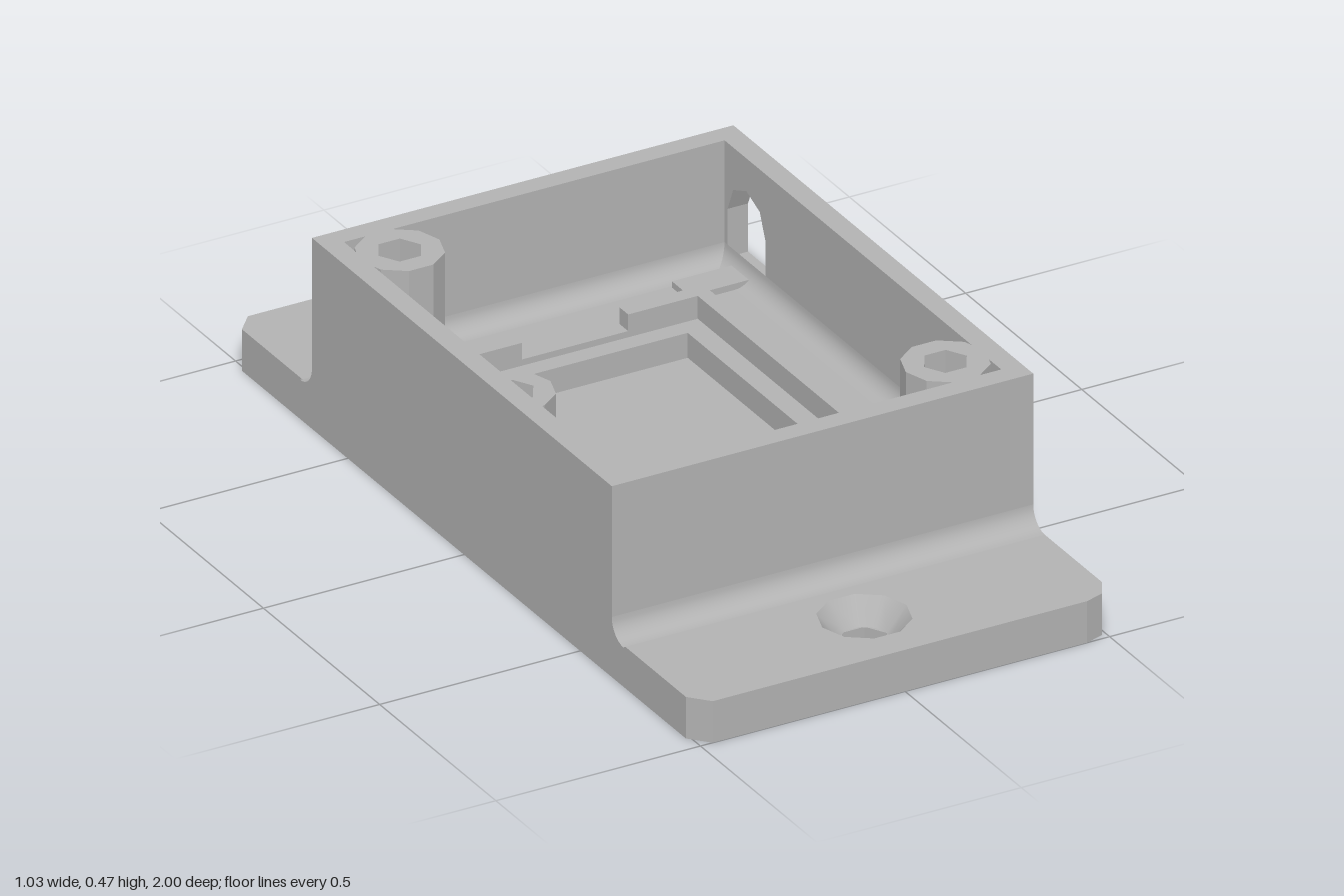
import * as THREE from 'three';
import { toCreasedNormals } from 'three/addons/utils/BufferGeometryUtils.js';

const W = 0.515, D = 0.645;    // outer half size of the box
const IW = 0.465, ID = 0.595;  // inner half size of the box
const PLATE = 0.1, LEDGE = 0.16, FLOOR = 0.175, RIM = 0.215, TOP = 0.465;

const rect = (x0, z0, x1, z1) => [[x0, z0], [x1, z0], [x1, z1], [x0, z1]];
const ngon = (n, r, cx, cz) => Array.from({ length: n }, (_, i) => {
  const a = (i / n) * Math.PI * 2;
  return [cx + r * Math.cos(a), cz + r * Math.sin(a)];
});

// Extrude a plan outline of (x, z) points, with holes, from y0 to y1
function slab(outline, holes, y0, y1) {
  const pts = list => list.map(([x, z]) => new THREE.Vector2(x, -z));
  const shape = new THREE.Shape(pts(outline));
  holes.forEach(h => shape.holes.push(new THREE.Path(pts(h))));
  return new THREE.ExtrudeGeometry(shape, { depth: y1 - y0, bevelEnabled: false })
    .rotateX(-Math.PI / 2).translate(0, y0, 0);
}

// Concave fillet strip: corner at the origin, opening to +x and +y, running along z
function fillet(r, length) {
  const s = new THREE.Shape();
  s.moveTo(0, 0);
  s.lineTo(r, 0);
  for (let i = 1; i <= 8; i++) {
    const a = (i / 8) * Math.PI / 2;
    s.lineTo(r - r * Math.sin(a), r - r * Math.cos(a));
  }
  const g = new THREE.ExtrudeGeometry(s, { depth: length, bevelEnabled: false });
  return toCreasedNormals(g.translate(0, 0, -length / 2), 0.6);
}

export function createModel() {
  const model = new THREE.Group();
  const grey = new THREE.MeshStandardMaterial({ color: 0xb2b2b2, side: THREE.DoubleSide });
  grey.name = 'grey plastic';
  const add = (name, geometry) => {
    const mesh = new THREE.Mesh(geometry, grey);
    mesh.name = name;
    model.add(mesh);
    return mesh;
  };

  // Mounting plate with clipped corners, in two layers for the countersinks
  const plate = [
    [-0.51, 0.955], [-0.47, 1], [0.445, 1], [0.49, 0.985], [W, 0.94],
    [W, -0.94], [0.49, -0.985], [0.445, -1], [-0.47, -1], [-0.51, -0.955],
  ];
  const holeZ = 0.825, sinkY = 0.045;
  add('plateBottom', slab(plate, [-1, 1].map(s => ngon(6, 0.055, 0, s * holeZ)), 0, sinkY));
  add('plateTop', slab(plate, [-1, 1].map(s => ngon(10, 0.103, 0, s * holeZ)), sinkY, PLATE));
  for (const s of [-1, 1]) {
    const cone = new THREE.CylinderGeometry(0.103, 0.055, PLATE - sinkY, 10, 1, true);
    cone.rotateY(Math.PI / 2).translate(0, (PLATE + sinkY) / 2, s * holeZ);
    add('countersink', cone);
  }

  // Front, back and left walls in one piece
  add('walls', slab([
    [-W, -D], [IW, -D], [IW, -ID], [-IW, -ID],
    [-IW, ID], [IW, ID], [IW, D], [-W, D],
  ], [], PLATE, TOP));

  // Right wall with the arched cable window
  const side = new THREE.Shape([[-D, PLATE], [D, PLATE], [D, TOP], [-D, TOP]]
    .map(p => new THREE.Vector2(...p)));
  const arch = [[0.42, 0.19], [0.582, 0.19]];
  for (let i = 0; i <= 4; i++) {
    const a = (i / 4) * Math.PI;
    arch.push([0.501 + 0.081 * Math.cos(a), 0.306 + 0.08 * Math.sin(a)]);
  }
  side.holes.push(new THREE.Path(arch.map(p => new THREE.Vector2(...p))));
  add('windowWall', new THREE.ExtrudeGeometry(side, { depth: W - IW, bevelEnabled: false })
    .rotateY(Math.PI / 2).translate(IW, 0, 0));

  // Fillets between the plate and the end walls
  for (const s of [-1, 1]) {
    const f = add('outerFillet', fillet(0.05, 2 * W));
    f.rotation.y = -s * Math.PI / 2;
    f.position.set(0, PLATE, s * D);
  }

  // Stepped floor: ledge around the pocket, then the main floor
  const inner = rect(-IW, -ID, IW, ID);
  add('pocketLedge', slab(inner, [rect(-0.255, -0.375, 0.25, 0.37)], PLATE, LEDGE));
  add('floor', slab(inner, [rect(-0.3, -0.42, 0.3, 0.42)], LEDGE, FLOOR));

  // Fillets between the floor and the inner walls
  for (let i = 0; i < 4; i++) {
    const along = i % 2 === 0;
    const f = add('innerFillet', fillet(0.045, along ? 2 * ID : 2 * IW));
    const a = (i * Math.PI) / 2;
    f.rotation.y = a;
    f.position.set(-Math.cos(a) * IW, FLOOR, Math.sin(a) * ID);
  }

  // Board rim: two brackets with a gap in the middle of each short side
  for (const s of [-1, 1]) {
    add('boardRim', slab([
      [s * 0.13, -0.457], [s * 0.335, -0.457], [s * 0.335, 0.453], [s * 0.13, 0.453],
      [s * 0.13, 0.42], [s * 0.3, 0.42], [s * 0.3, -0.42], [s * 0.13, -0.42],
    ], [], FLOOR, RIM));
  }

  // Cable rest below the window
  add('cableRest', slab(rect(0.308, -0.545, IW, -0.47), [], FLOOR, 0.19));

  // Corner screw posts and low board bosses, on opposite corners
  for (const s of [-1, 1]) {
    const px = s * 0.38, pz = s * 0.505;
    add('screwPost', slab(ngon(10, 0.097, px, pz), [ngon(6, 0.052, px, pz)], FLOOR, TOP));
    const bx = s * 0.205, bz = s * 0.33;
    add('boardBoss', slab(ngon(10, 0.094, bx, bz), [ngon(6, 0.052, bx, bz)], PLATE, LEDGE));
  }

  return model;
}
